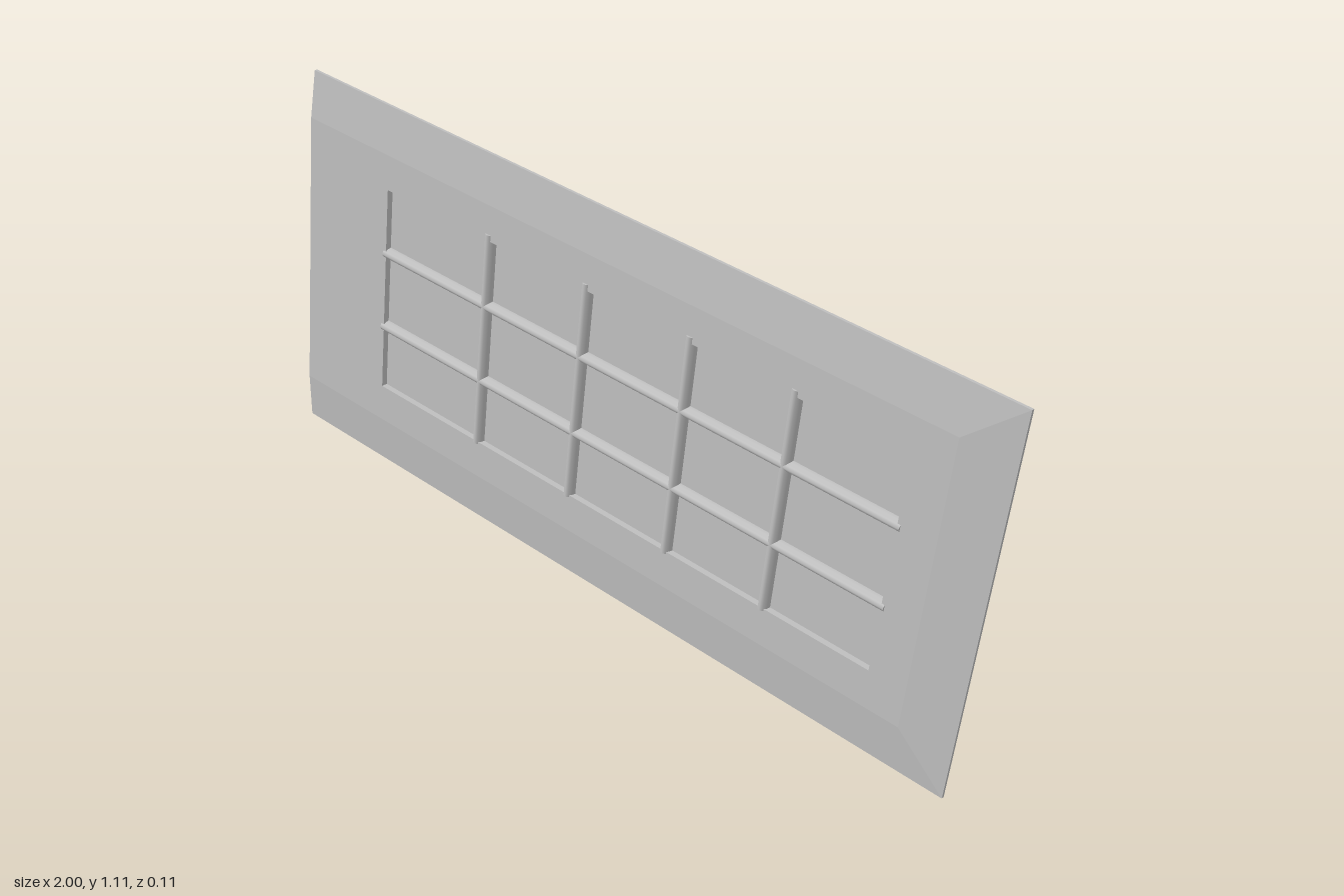
import * as THREE from 'three';

const paint = new THREE.MeshStandardMaterial({ color: 0xc0c0c0, side: THREE.DoubleSide });
paint.name = 'greyPaint';

// Window layout in its own plane (u along the length, v across, z to the front)
const HALF_W = 0.96, HALF_H = 0.465;
const PANE = { left: -0.697, right: 0.745, bottom: -0.257, top: 0.265 };

// Moulding section: [inset from the outer edge, z], front face first, then the stepped back
const SECTION = [
  [0, 0.020], [0.115, 0.030], [0.13, 0.030], [0.13, -0.006],
  [0.127, -0.022], [0.118, -0.026], [0.100, -0.026], [0.096, -0.022],
  [0.080, -0.020], [0.066, -0.014], [0.062, -0.010], [0.045, -0.011],
  [0.030, -0.006], [0.026, 0.000], [0.010, 0.004], [0, 0.013],
];

function add(group, geometry, name) {
  const mesh = new THREE.Mesh(geometry, paint);
  mesh.name = name;
  group.add(mesh);
  return mesh;
}

// Sweeps the section along bottom, right and top with mitred corners; the left end is cut straight
function mouldingGeometry() {
  const stations = ([d, z]) => {
    const right = HALF_W - d * 1.08, v = HALF_H - d;
    return [[-HALF_W, -v, z], [right, -v, z], [right, v, z], [-HALF_W, v, z]];
  };
  const rows = SECTION.map(stations);
  const positions = [];
  rows.forEach((row, i) => {
    const next = rows[(i + 1) % rows.length];
    for (let s = 0; s < 3; s++) {
      const [a, b, c, d] = [row[s], row[s + 1], next[s + 1], next[s]];
      positions.push(...a, ...b, ...c, ...a, ...c, ...d);
    }
  });
  // End caps
  const contour = SECTION.map(([d, z]) => new THREE.Vector2(d, z));
  for (const face of THREE.ShapeUtils.triangulateShape(contour, [])) {
    for (const s of [0, 3]) for (const i of face) positions.push(...rows[i][s]);
  }
  const geometry = new THREE.BufferGeometry();
  geometry.setAttribute('position', new THREE.Float32BufferAttribute(positions, 3));
  geometry.computeVertexNormals();
  return geometry;
}

function rectangle(path, l, r, b, t) {
  path.moveTo(l, b);
  path.lineTo(r, b);
  path.lineTo(r, t);
  path.lineTo(l, t);
  path.closePath();
  return path;
}

// Flat panel with the opening for the panes
function panelGeometry() {
  const shape = rectangle(new THREE.Shape(), -HALF_W, 0.836, -0.35, 0.35);
  shape.holes.push(rectangle(new THREE.Path(), PANE.left, PANE.right, PANE.bottom, PANE.top));
  const geometry = new THREE.ExtrudeGeometry(shape, { depth: 0.036, bevelEnabled: false });
  geometry.translate(0, 0, -0.006);
  return geometry;
}

// Rounded glazing bar, flattened across the window and deep enough to show on both sides
function barGeometry(length) {
  return new THREE.CylinderGeometry(0.0135, 0.0135, length, 12).scale(1, 1, 1.7);
}

function createHandle() {
  const handle = new THREE.Group();
  handle.name = 'handle';
  // Oval plate and the boss that carries the lever
  const plate = add(handle, new THREE.CylinderGeometry(1, 1, 0.03, 24), 'handlePlate');
  plate.rotation.x = Math.PI / 2;
  plate.scale.set(0.08, 1, 0.026);
  plate.position.z = -0.02;
  const boss = add(handle, new THREE.CylinderGeometry(0.02, 0.02, 0.02, 16), 'handleBoss');
  boss.rotation.x = Math.PI / 2;
  boss.position.z = -0.042;
  // Gently curved lever
  const curve = new THREE.CatmullRomCurve3([
    new THREE.Vector3(0, 0, -0.048),
    new THREE.Vector3(-0.004, 0.04, -0.05),
    new THREE.Vector3(-0.002, 0.085, -0.049),
    new THREE.Vector3(0.012, 0.125, -0.048),
  ]);
  add(handle, new THREE.TubeGeometry(curve, 16, 0.008, 8), 'handleLever');
  const tip = add(handle, new THREE.SphereGeometry(0.009, 12, 8), 'handleTip');
  tip.position.copy(curve.getPoint(1));
  handle.position.set(0.03, -0.295, 0);
  return handle;
}

export function createModel() {
  const model = new THREE.Group();
  model.name = 'window';
  const sash = new THREE.Group();
  sash.name = 'sash';
  model.add(sash);

  add(sash, mouldingGeometry(), 'outerMoulding');
  add(sash, panelGeometry(), 'framePanel');

  // Glass sheet
  const midU = (PANE.left + PANE.right) / 2, midV = (PANE.bottom + PANE.top) / 2;
  const width = PANE.right - PANE.left, height = PANE.top - PANE.bottom;
  const glass = add(sash, new THREE.BoxGeometry(width, height, 0.006), 'glass');
  glass.position.set(midU, midV, 0.012);

  // Glazing bars
  for (const u of [-0.378, -0.09, 0.197, 0.467]) {
    add(sash, barGeometry(height + 0.02), 'verticalBar').position.set(u, midV + 0.005, 0.012);
  }
  for (const v of [0.1, -0.094]) {
    const bar = add(sash, barGeometry(width + 0.015), 'horizontalBar');
    bar.rotation.z = Math.PI / 2;
    bar.position.set(midU, v, 0.012);
  }

  sash.add(createHandle());

  // Lean of the whole window
  const normal = new THREE.Vector3(0.021, 0.021, 1).normalize();
  const along = new THREE.Vector3(0.9953, -0.0966, -0.0189).normalize();
  const across = new THREE.Vector3().crossVectors(normal, along).normalize();
  along.crossVectors(across, normal);
  sash.quaternion.setFromRotationMatrix(new THREE.Matrix4().makeBasis(along, across, normal));
  sash.position.set(0, 0.556, 0);
  return model;
}
